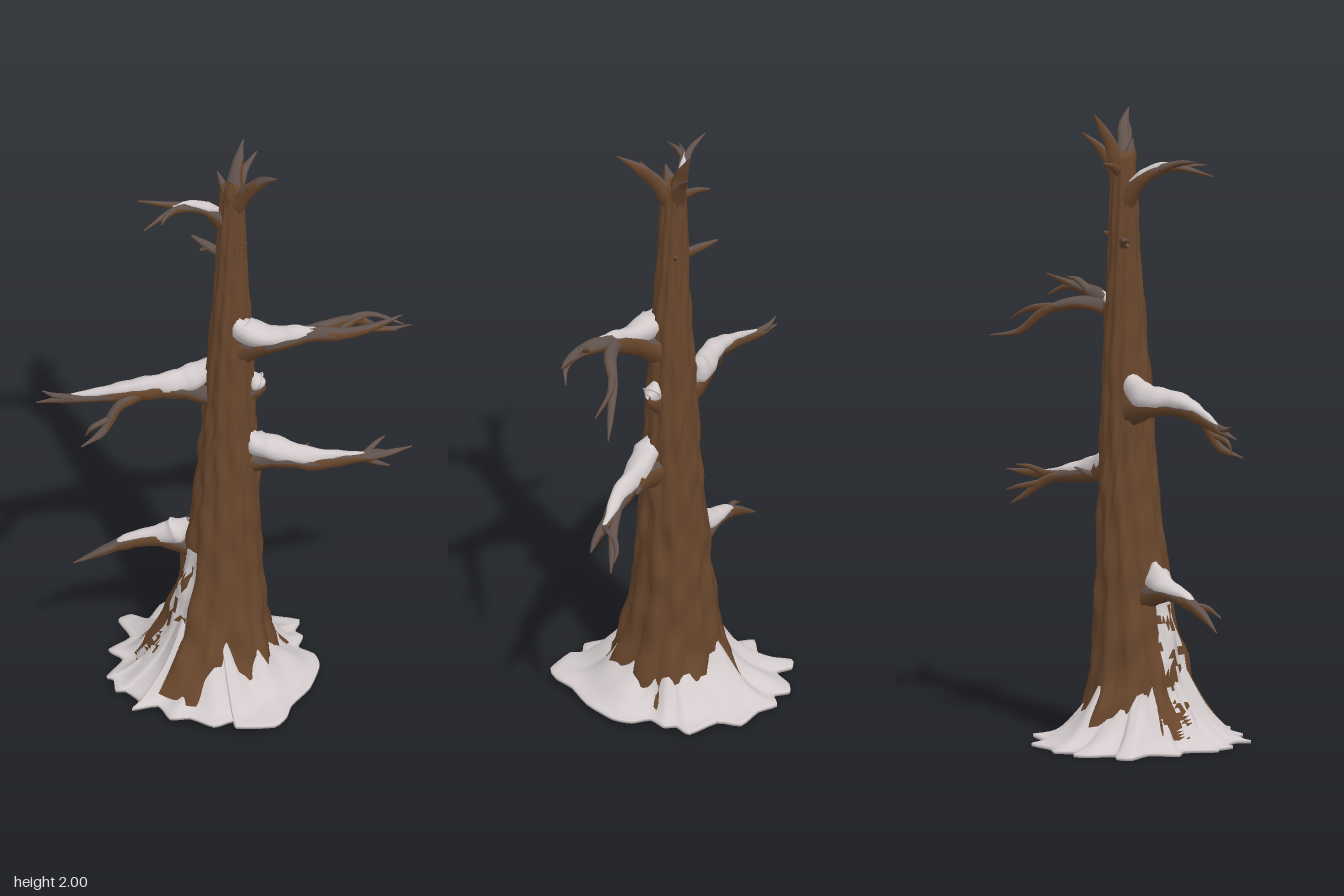
import * as THREE from 'three';

const mat = (name, color, side = THREE.FrontSide) => {
  const m = new THREE.MeshStandardMaterial({ color, side });
  m.name = name;
  return m;
};

// Smooth repeatable roughness in -1..1
const rough = (x, y, z) =>
  (Math.sin(41 * x + 17 * y + 3) + Math.sin(37 * z - 23 * y + 1) + Math.sin(29 * (x + z) + 31 * y)) / 3;

// Closed grid of rings; paint(centre, normal) picks the material of each triangle
function gridGeometry(rings, paint = () => 0) {
  const m = rings[0].length, pos = [], faces = [[], [], []];
  rings.forEach(r => r.forEach(p => pos.push(p.x, p.y, p.z)));
  const flat = rings.flat(), tri = new THREE.Triangle();
  const n = new THREE.Vector3(), c = new THREE.Vector3();
  const add = (i, j, k) => {
    tri.set(flat[i], flat[j], flat[k]);
    tri.getNormal(n);
    tri.getMidpoint(c);
    faces[paint(c, n)].push(i, j, k);
  };
  for (let i = 0; i < rings.length - 1; i++) {
    for (let j = 0; j < m; j++) {
      const a = i * m + j, b = i * m + (j + 1) % m;
      add(a, a + m, b);
      add(b, a + m, b + m);
    }
  }
  const g = new THREE.BufferGeometry();
  g.setAttribute('position', new THREE.Float32BufferAttribute(pos, 3));
  g.setIndex(faces.flat());
  let start = 0;
  faces.forEach((f, i) => { g.addGroup(start, f.length, i); start += f.length; });
  g.computeVertexNormals();
  return g;
}

// Round sweep along [x, y, z, radius] points; shape(angle, point) scales the radius
function sweep(pts, segs, steps, ref, shape, paint) {
  const curve = new THREE.CatmullRomCurve3(pts.map(p => new THREE.Vector3(p[0], p[1], p[2])));
  const rings = [];
  for (let i = 0; i <= steps; i++) {
    const u = i / steps, f = u * (pts.length - 1), k = Math.min(Math.floor(f), pts.length - 2);
    const r = THREE.MathUtils.lerp(pts[k][3], pts[k + 1][3], f - k);
    const p = curve.getPoint(u), t = curve.getTangent(u);
    const side = t.clone().cross(ref).normalize(), nrm = side.clone().cross(t);
    rings.push(Array.from({ length: segs }, (_, j) => {
      const a = j / segs * Math.PI * 2, q = r * shape(a, p);
      return p.clone().addScaledVector(side, Math.cos(a) * q).addScaledVector(nrm, Math.sin(a) * q);
    }));
  }
  return gridGeometry(rings, paint);
}

export function createModel() {
  const root = new THREE.Group();
  root.name = 'snowyDeadTree';
  const bark = mat('bark brown', 0x68462c);
  const weathered = mat('weathered grey bark', 0x61524c);
  const snow = mat('snow', 0xd3cbcb, THREE.DoubleSide);
  const all = [bark, weathered, snow];
  const UP = new THREE.Vector3(0, 1, 0), FRONT = new THREE.Vector3(0, 0, 1);
  const put = (name, geo, m) => {
    const mesh = new THREE.Mesh(geo, m);
    mesh.name = name;
    root.add(mesh);
  };

  // Trunk: ridged bark, flared roots, snow caught on the side below the lowest branch
  const trunkShape = (a, p) => {
    const flare = Math.max(0, 1 - p.y / 0.35);
    return 1 + 0.045 * Math.sin(11 * a + 2.5 * Math.sin(4 * p.y)) + 0.03 * Math.sin(23 * a + 5 * Math.sin(7 * p.y))
      + 0.06 * rough(Math.cos(a) * 0.2, p.y * 1.3, Math.sin(a) * 0.2) + 0.1 * flare * Math.sin(5 * a + 1);
  };
  const trunkPaint = (c, n) => {
    const a = Math.atan2(c.z, -(c.x + 0.06)) + 0.2;
    return c.y < 0.5 && Math.abs(a) < 0.42 && rough(c.x * 2, c.y * 1.5, c.z * 3) > -0.2 ? 2 : 0;
  };
  put('trunk', sweep([
    [-0.08, 0.03, 0, 0.24], [-0.075, 0.1, 0, 0.2], [-0.065, 0.2, 0, 0.158], [-0.05, 0.4, -0.005, 0.125],
    [-0.04, 0.6, -0.003, 0.108], [-0.03, 0.8, 0, 0.094], [-0.025, 1.0, 0, 0.083], [-0.02, 1.2, 0, 0.073],
    [-0.017, 1.4, 0, 0.06], [-0.015, 1.6, -0.003, 0.048], [-0.013, 1.75, -0.005, 0.043],
    [-0.012, 1.87, -0.005, 0.036], [-0.012, 1.885, -0.005, 0.003]
  ], 60, 90, FRONT, trunkShape, trunkPaint), all);

  // Limbs: brown below, weathered on top
  const limbShape = (a, p) => 1 + 0.1 * Math.sin(3 * a + 20 * p.x) + 0.12 * rough(p.x * 2, p.y * 2, p.z * 2);
  const limbs = {
    leftMiddleBranch: [
      [[-0.03, 1.05, -0.02, 0.05], [-0.14, 1.09, -0.09, 0.04], [-0.26, 1.095, -0.135, 0.03], [-0.38, 1.07, -0.22, 0.02], [-0.46, 1.05, -0.29, 0.013], [-0.53, 1.035, -0.34, 0.002]],
      [[-0.25, 1.09, -0.13, 0.022], [-0.34, 1.06, -0.15, 0.018], [-0.4, 0.98, -0.155, 0.013], [-0.48, 0.95, -0.16, 0.002]],
      [[-0.37, 1.02, -0.155, 0.012], [-0.43, 1.0, -0.17, 0.008], [-0.45, 0.97, -0.18, 0.002]],
      [[-0.43, 1.06, -0.26, 0.012], [-0.48, 1.06, -0.31, 0.009], [-0.51, 1.075, -0.335, 0.002]]
    ],
    rightUpperBranch: [
      [[-0.01, 1.25, 0.02, 0.045], [0.05, 1.32, 0.13, 0.036], [0.14, 1.37, 0.215, 0.027], [0.21, 1.385, 0.285, 0.02], [0.3, 1.4, 0.33, 0.014], [0.39, 1.425, 0.355, 0.002]],
      [[0.1, 1.35, 0.18, 0.025], [0.22, 1.36, 0.2, 0.021], [0.33, 1.33, 0.19, 0.016], [0.42, 1.26, 0.2, 0.01], [0.525, 1.24, 0.21, 0.002]],
      [[0.27, 1.35, 0.195, 0.014], [0.38, 1.335, 0.2, 0.01], [0.47, 1.29, 0.25, 0.002]],
      [[0.27, 1.395, 0.315, 0.012], [0.33, 1.385, 0.34, 0.008], [0.38, 1.36, 0.34, 0.002]],
      [[0.2, 1.38, 0.27, 0.014], [0.26, 1.42, 0.29, 0.009], [0.3, 1.425, 0.3, 0.002]]
    ],
    rightLowerBranch: [
      [[-0.01, 0.82, 0.03, 0.055], [0.08, 0.845, 0.1, 0.04], [0.18, 0.825, 0.17, 0.03], [0.28, 0.81, 0.2, 0.022], [0.38, 0.805, 0.24, 0.014], [0.49, 0.81, 0.265, 0.002]],
      [[0.24, 0.82, 0.185, 0.02], [0.33, 0.79, 0.19, 0.016], [0.4, 0.74, 0.195, 0.01], [0.45, 0.71, 0.2, 0.002]],
      [[0.34, 0.785, 0.19, 0.012], [0.41, 0.77, 0.18, 0.008], [0.46, 0.755, 0.19, 0.002]],
      [[0.34, 0.81, 0.22, 0.012], [0.39, 0.83, 0.21, 0.008], [0.43, 0.835, 0.2, 0.002]],
      [[0.08, 0.84, 0.09, 0.02], [0.14, 0.83, 0.11, 0.012], [0.2, 0.85, 0.115, 0.002]]
    ],
    leftLowerBranch: [
      [[-0.1, 0.47, -0.05, 0.045], [-0.2, 0.505, -0.12, 0.032], [-0.3, 0.485, -0.18, 0.022], [-0.37, 0.45, -0.22, 0.014], [-0.435, 0.405, -0.27, 0.002]],
      [[-0.31, 0.48, -0.185, 0.014], [-0.38, 0.47, -0.2, 0.009], [-0.43, 0.445, -0.22, 0.002]]
    ],
    leftTopBranch: [
      [[-0.01, 1.69, -0.01, 0.03], [-0.06, 1.77, -0.025, 0.026], [-0.12, 1.82, -0.035, 0.019], [-0.2, 1.845, -0.04, 0.013], [-0.33, 1.82, -0.03, 0.002]],
      [[-0.15, 1.835, -0.04, 0.014], [-0.22, 1.86, -0.06, 0.011], [-0.3, 1.875, -0.11, 0.002]],
      [[-0.2, 1.845, -0.04, 0.011], [-0.25, 1.85, -0.02, 0.008], [-0.29, 1.85, 0.01, 0.002]]
    ],
    backStub: [
      [[-0.02, 1.59, -0.02, 0.02], [-0.045, 1.605, -0.08, 0.015], [-0.07, 1.62, -0.145, 0.004]],
      [[-0.045, 1.605, -0.08, 0.012], [-0.07, 1.59, -0.1, 0.003]],
      [[0, 1.6, 0, 0.018], [0.05, 1.625, -0.015, 0.004]]
    ],
    frontStub: [[[0, 1.06, 0.02, 0.04], [0.04, 1.1, 0.06, 0.03], [0.06, 1.12, 0.08, 0.008]]],
    crownSpike: [
      [[-0.01, 1.8, 0, 0.032], [0.005, 1.88, 0.05, 0.025], [0.03, 1.95, 0.11, 0.016], [0.04, 1.995, 0.175, 0.002]],
      [[0, 1.8, -0.01, 0.032], [0.015, 1.89, -0.025, 0.024], [0.04, 1.95, -0.04, 0.014], [0.065, 2.0, -0.055, 0.002]],
      [[0, 1.8, -0.01, 0.028], [0.03, 1.86, -0.025, 0.02], [0.06, 1.9, -0.035, 0.013], [0.11, 1.94, -0.045, 0.002]],
      [[-0.02, 1.8, 0, 0.028], [-0.03, 1.87, 0.01, 0.02], [-0.035, 1.92, 0.02, 0.003]],
      [[0.005, 1.88, 0.05, 0.016], [0, 1.92, 0.08, 0.01], [0.01, 1.96, 0.1, 0.002]],
      [[-0.01, 1.82, -0.03, 0.016], [0, 1.845, -0.08, 0.01], [0.01, 1.855, -0.12, 0.002]]
    ]
  };
  for (const [name, parts] of Object.entries(limbs))
    for (const pts of parts)
      put(name, sweep(pts, 10, 16, UP, limbShape, (c, n) => n.y > 0.3 ? 1 : 0), all);

  // Snow lying on limbs, piled highest against the trunk
  const drifts = {
    leftMiddleSnow: [[-0.06, 1.15, -0.05, 0.035], [-0.13, 1.115, -0.09, 0.043], [-0.25, 1.113, -0.135, 0.03], [-0.36, 1.09, -0.205, 0.017], [-0.44, 1.065, -0.275, 0.006]],
    rightUpperSnow: [[-0.02, 1.405, 0.035, 0.01], [-0.015, 1.36, 0.055, 0.048], [0.04, 1.34, 0.12, 0.037], [0.11, 1.37, 0.19, 0.023], [0.18, 1.395, 0.26, 0.008]],
    rightLowerSnow: [[0.005, 0.955, 0.06, 0.01], [0.02, 0.905, 0.075, 0.045], [0.09, 0.868, 0.11, 0.038], [0.18, 0.845, 0.17, 0.026], [0.28, 0.825, 0.2, 0.013], [0.35, 0.815, 0.225, 0.004]],
    leftLowerSnow: [[-0.14, 0.585, -0.06, 0.01], [-0.165, 0.54, -0.085, 0.04], [-0.2, 0.52, -0.12, 0.033], [-0.29, 0.5, -0.175, 0.018], [-0.34, 0.475, -0.2, 0.005]],
    leftTopSnow: [[-0.05, 1.785, -0.025, 0.012], [-0.09, 1.812, -0.03, 0.018], [-0.15, 1.845, -0.038, 0.012], [-0.21, 1.855, -0.045, 0.004]],
    frontStubSnow: [[0.025, 1.16, 0.05, 0.008], [0.04, 1.125, 0.06, 0.034], [0.06, 1.12, 0.075, 0.01]]
  };
  for (const [name, pts] of Object.entries(drifts))
    put(name, sweep(pts, 14, 24, UP, limbShape), snow);

  // Snow mound: scalloped outline rising to peaks against the trunk
  const outline = [
    [-0.19, -0.38], [-0.14, -0.38], [-0.11, -0.33], [-0.04, -0.37], [0.01, -0.37], [0.03, -0.32], [0.09, -0.33],
    [0.13, -0.27], [0.215, -0.215], [0.2, -0.14], [0.275, -0.05], [0.23, -0.01], [0.235, 0.03], [0.19, 0.07],
    [0.21, 0.13], [0.19, 0.19], [0.1, 0.27], [0, 0.315], [-0.05, 0.36], [-0.11, 0.38], [-0.21, 0.315],
    [-0.2, 0.28], [-0.265, 0.27], [-0.3, 0.19], [-0.355, 0.155], [-0.345, 0.075], [-0.425, 0.045], [-0.38, 0.02],
    [-0.385, -0.05], [-0.41, -0.07], [-0.38, -0.125], [-0.39, -0.15], [-0.295, -0.195], [-0.305, -0.265], [-0.21, -0.28]
  ];
  const edge = new THREE.CatmullRomCurve3(outline.map(p => new THREE.Vector3(p[0], 0, p[1])), true, 'catmullrom', 0.3);
  const N = 105, rim = Array.from({ length: N }, (_, i) => edge.getPoint(i / N));
  const ring = (t, lift) => rim.map(p => {
    const a = Math.atan2(p.z, p.x + 0.08);
    const h = 0.2 + 0.04 * Math.sin(6 * a + 1) + 0.03 * Math.sin(11 * a);
    const x = THREE.MathUtils.lerp(p.x, -0.08 + 0.13 * Math.cos(a), t);
    const z = THREE.MathUtils.lerp(p.z, 0.12 * Math.sin(a), t);
    const bump = 0.012 * rough(x, 0, z) * Math.sin(Math.PI * t);
    return new THREE.Vector3(x, lift + 0.03 * p.z * (1 - t) + h * Math.pow(t, 1.8) + bump, z);
  });
  const underside = rim.map(() => new THREE.Vector3(-0.08, 0.008, 0));
  const mound = [underside, ring(0, 0.012)];
  for (let i = 0; i <= 12; i++) mound.push(ring(i / 12, 0.022));
  put('snowMound', gridGeometry(mound), snow);

  return root;
}
